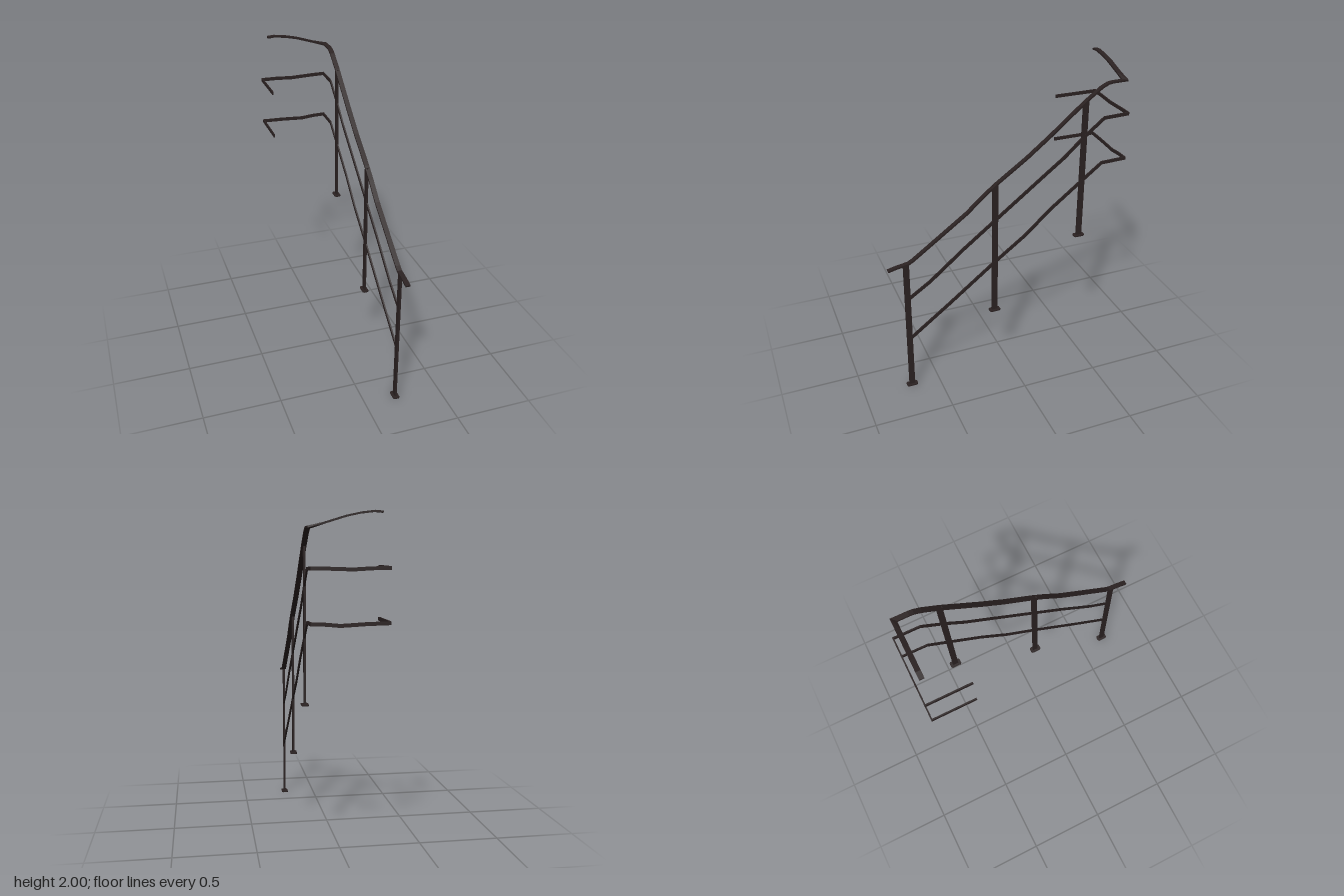
import * as THREE from 'three';

const V = (x, y, z) => new THREE.Vector3(x, y, z);

// Sweeps a flat bar along a path with mitred corners; w is across, t is the thickness.
function sweepBar(path, w, t, ref = V(0, 1, 0)) {
  const dirs = path.slice(1).map((p, i) => p.clone().sub(path[i]).normalize());
  const sides = dirs.map((d) => d.clone().cross(ref).normalize());
  const rings = path.map((p, i) => {
    const a = Math.max(i - 1, 0), b = Math.min(i, dirs.length - 1);
    const tangent = dirs[a].clone().add(dirs[b]).normalize();
    const s = sides[a].clone().add(sides[b]).normalize();
    const mitre = 1 / s.dot(sides[a]);
    const u = s.clone().cross(tangent).normalize().multiplyScalar(t / 2);
    s.multiplyScalar(mitre * w / 2);
    return [[-1, -1], [1, -1], [1, 1], [-1, 1]].map(([m, n]) =>
      p.clone().addScaledVector(s, m).addScaledVector(u, n));
  });
  const out = [];
  const quad = (a, b, c, d) => [a, b, c, a, c, d].forEach((v) => out.push(v.x, v.y, v.z));
  quad(...rings[0]);
  for (let i = 0; i < rings.length - 1; i++) {
    for (let k = 0; k < 4; k++) {
      const n = (k + 1) % 4;
      quad(rings[i][k], rings[i + 1][k], rings[i + 1][n], rings[i][n]);
    }
  }
  quad(...rings[rings.length - 1].slice().reverse());
  const g = new THREE.BufferGeometry();
  g.setAttribute('position', new THREE.Float32BufferAttribute(out, 3));
  g.computeVertexNormals();
  return g;
}

// Flat foot plate with clipped corners
function footPlate(w, l, h, c) {
  const x = w / 2, y = l / 2;
  const shape = new THREE.Shape([
    [x - c, -y], [x, -y + c], [x, y - c], [x - c, y],
    [-x + c, y], [-x, y - c], [-x, -y + c], [-x + c, -y],
  ].map(([a, b]) => new THREE.Vector2(a, b)));
  return new THREE.ExtrudeGeometry(shape, { depth: h, bevelEnabled: false }).rotateX(-Math.PI / 2);
}

export function createModel() {
  const group = new THREE.Group();
  const iron = new THREE.MeshStandardMaterial({ color: 0x2b2222 });
  iron.name = 'dark iron';
  const add = (name, geometry) => {
    const mesh = new THREE.Mesh(geometry, iron);
    mesh.name = name;
    group.add(mesh);
    return mesh;
  };
  const X = 0.208;

  // Posts on foot plates: [z at foot, z at top, foot y, top y]
  [[0.683, 0.675, 0, 0.925], [0.1, 0.093, 0.445, 1.357], [-0.488, -0.491, 0.885, 1.807]]
    .forEach(([z0, z1, y0, y1], i) => {
      add(`post${i + 1}`, sweepBar([V(X, y0 + 0.004, z0), V(X, y1, z1)], 0.012, 0.037, V(0, 0, 1)));
      add(`footPlate${i + 1}`, footPlate(0.042, 0.072, 0.008, 0.008)).position.set(X, y0, z0);
    });

  // Handrail: climbs the stairs, turns the corner and rises across the landing
  const climb = [
    [0.79, 0.906], [0.735, 0.919], [0.66, 0.931], [0.63, 0.948], [0.46, 1.07], [0.28, 1.2],
    [0.167, 1.3], [0.087, 1.363], [-0.108, 1.5], [-0.257, 1.617], [-0.485, 1.807],
    [-0.59, 1.884], [-0.632, 1.904], [-0.66, 1.908], [-0.745, 1.909],
  ].map(([z, y]) => V(0.21, y, z));
  const across = [
    [0.13, 1.931], [0.01, 1.968], [-0.07, 1.985], [-0.145, 1.994], [-0.19, 1.99],
  ].map(([x, y]) => V(x, y, -0.745));
  add('handrail', sweepBar([...climb, ...across], 0.03, 0.011));

  // Two lower rails that wrap around the landing on three sides
  const rails = {
    upperRail: {
      climb: [[0.67, 0.674], [0.527, 0.77], [0.3, 0.957], [0.103, 1.108], [-0.257, 1.383],
        [-0.363, 1.463], [-0.485, 1.574], [-0.623, 1.683]],
      across: [[0.21, 1.688], [0.12, 1.687], [-0.02, 1.682], [-0.13, 1.688], [-0.228, 1.689]],
    },
    lowerRail: {
      climb: [[0.67, 0.375], [0.405, 0.575], [0.103, 0.81], [-0.108, 0.965], [-0.283, 1.122],
        [-0.485, 1.278], [-0.623, 1.383]],
      across: [[0.21, 1.388], [0.13, 1.386], [0.05, 1.378], [-0.1, 1.386], [-0.228, 1.389]],
    },
  };
  for (const [name, r] of Object.entries(rails)) {
    const end = r.across[r.across.length - 1];
    add(name, sweepBar([
      ...r.climb.map(([z, y]) => V(0.21, y, z)),
      ...r.across.map(([x, y]) => V(x, y, -0.787)),
      V(end[0], end[1], -0.5),
    ], 0.009, 0.021));
  }
  return group;
}
